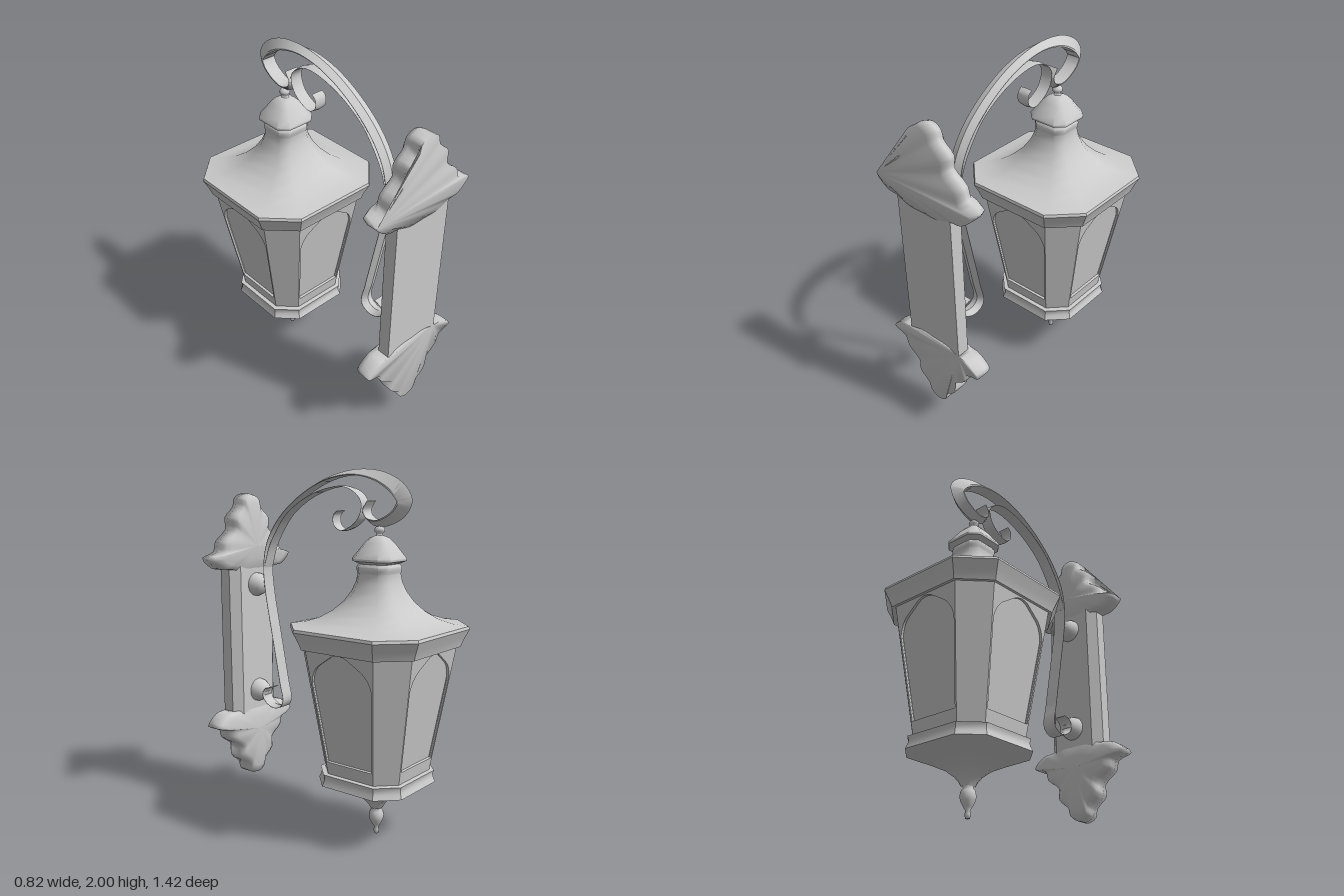
import * as THREE from 'three';
import { toCreasedNormals } from 'three/addons/utils/BufferGeometryUtils.js';

const grey = new THREE.MeshStandardMaterial({ color: 0xcccccc });
const greyDouble = new THREE.MeshStandardMaterial({ color: 0xcccccc, side: THREE.DoubleSide });
const V = (x, y, z) => new THREE.Vector3(x, y, z);

function add(parent, name, geometry, material = grey) {
  const mesh = new THREE.Mesh(geometry, material);
  mesh.name = name;
  parent.add(mesh);
  return mesh;
}

// Skin a list of closed rings that all have the same number of points
function skin(rings, extraFaces = []) {
  const n = rings[0].length, index = [];
  for (let i = 0; i < rings.length - 1; i++)
    for (let j = 0; j < n; j++) {
      const a = i * n + j, b = i * n + (j + 1) % n;
      index.push(a, a + n, b, b, a + n, b + n);
    }
  const g = new THREE.BufferGeometry().setFromPoints(rings.flat());
  g.setIndex(index.concat(extraFaces));
  g.computeVertexNormals();
  return g;
}

// Chamfered-square loft from a [halfWidth, height] profile, bottom to top
const CUT = 0.61;
const octagon = [[1, -CUT], [1, CUT], [CUT, 1], [-CUT, 1], [-1, CUT], [-1, -CUT], [-CUT, -1], [CUT, -1]];
const octLoft = (profile, crease) =>
  toCreasedNormals(skin(profile.map(([r, y]) => octagon.map(([x, z]) => V(x * r, y, z * r)))), crease);

const lathe = (profile) =>
  new THREE.LatheGeometry(profile.map(([r, y]) => new THREE.Vector2(r, y)), 24);

// Ridged strap swept along a [z, y] path; thickness is a function of the position along it
function strap(path, width, thickness, steps) {
  const curve = new THREE.CatmullRomCurve3(path.map(([z, y]) => V(0, y, z)));
  const rings = [];
  for (let i = 0; i <= steps; i++) {
    const u = i / steps, p = curve.getPointAt(u), t = curve.getTangentAt(u);
    const out = V(0, -t.z, t.y), h = thickness(u);
    const section = [[-width, -h], [width, -h], [width, -h * 0.85], [0, 0], [-width, -h * 0.85]];
    const ring = section.map(([x, d]) => p.clone().addScaledVector(out, d).setX(x));
    const cap = ring.map(() => p.clone().addScaledVector(out, -h / 2));
    if (i === 0) rings.push(cap);
    rings.push(ring);
    if (i === steps) rings.push(cap);
  }
  return toCreasedNormals(skin(rings), 0.6);
}

// Lobed leaf: domed on one side, the wall face fans out from one tip
function leaf(flip, tip) {
  const half = [[0.095, 1.41], [0.175, 1.435], [0.25, 1.445], [0.32, 1.51], [0.235, 1.54], [0.215, 1.6],
    [0.135, 1.665], [0.135, 1.735], [0.07, 1.795], [0.055, 1.845]];
  const mirrored = half.map(([x, y]) => [-x, y]).reverse();
  const outline = [[0, 1.41], ...half, [0, 1.87], ...mirrored];
  let loop = new THREE.CatmullRomCurve3(outline.map(([x, y]) => V(x, y, 0)), true).getPoints(66).slice(0, -1);
  if (flip) loop = loop.map((p) => V(p.x, 2.015 - p.y, 0)).reverse();
  const cy = flip ? 0.445 : 1.57;
  const ring = (s, z) => loop.map((p) => V(p.x * s, cy + (p.y - cy) * s, z));
  let k = 0;
  loop.forEach((p, i) => { if (p.distanceTo(tip) < loop[k].distanceTo(tip)) k = i; });
  const n = loop.length, fan = [];
  for (let i = 1; i < n - 1; i++) fan.push(k, (k + i) % n, (k + i + 1) % n);
  return skin([ring(1, 0.712), ring(1, 0.64), ring(0.97, 0.612), ring(0.82, 0.595), ring(0.45, 0.583), ring(0, 0.58)], fan);
}

// Leaning trapezoid for one side of the lantern body
const Y0 = 0.385, Y1 = 1.09, R0 = 0.245, R1 = 0.355;
function sideShape(w0, w1, h) {
  return new THREE.Shape([[-w0, 0], [w0, 0], [w1, h], [-w1, h]].map(([x, y]) => new THREE.Vector2(x, y)));
}

function bodySide(angle, scale, halfWidth, open) {
  const pivot = new THREE.Group(), side = new THREE.Group();
  const d0 = R0 * scale, d1 = R1 * scale;
  const h = Math.hypot(Y1 - Y0, d1 - d0);
  const w0 = R0 * halfWidth, w1 = R1 * halfWidth;
  const shape = sideShape(w0, w1, h);
  if (open) {
    // Arched opening above a low bottom rail
    const at = (y) => w0 + (w1 - w0) * y / h - 0.01;
    const hole = new THREE.Path();
    hole.moveTo(-at(0.075), 0.075);
    hole.lineTo(at(0.075), 0.075);
    hole.lineTo(at(0.53), 0.53);
    hole.quadraticCurveTo(0.178, 0.6, 0.13, 0.632);
    hole.lineTo(0.05, 0.685);
    hole.quadraticCurveTo(0, 0.71, -0.05, 0.685);
    hole.lineTo(-0.13, 0.632);
    hole.quadraticCurveTo(-0.178, 0.6, -at(0.53), 0.53);
    hole.closePath();
    shape.holes.push(hole);
    add(side, 'glassPane', new THREE.ShapeGeometry(sideShape(w0, w1, h)), greyDouble).position.z = -0.016;
  }
  const board = new THREE.ExtrudeGeometry(shape, { depth: 0.015, bevelEnabled: false, curveSegments: 8 });
  add(side, open ? 'archedFrame' : 'cornerPanel', board.translate(0, 0, -0.015));
  side.position.set(0, Y0, d0);
  side.rotation.x = Math.atan2(d1 - d0, Y1 - Y0);
  pivot.rotation.y = angle;
  pivot.name = open ? 'archedSide' : 'cornerSide';
  pivot.add(side);
  return pivot;
}

export function createModel() {
  const model = new THREE.Group();
  model.name = 'wallLantern';

  // Lantern
  const lantern = new THREE.Group();
  lantern.name = 'lantern';
  lantern.position.z = -0.3;
  model.add(lantern);
  add(lantern, 'bottomFinial', lathe([[0, 0], [0.012, 0], [0.015, 0.02], [0.012, 0.038], [0.022, 0.055],
    [0.038, 0.085], [0.042, 0.11], [0.036, 0.135], [0.025, 0.15], [0.034, 0.165], [0.04, 0.18], [0, 0.19]]));
  add(lantern, 'lowerBowl', octLoft([[0.03, 0.155], [0.042, 0.18], [0.06, 0.205], [0.1, 0.24], [0.16, 0.27],
    [0.23, 0.3], [0.275, 0.32]], 0.9));
  add(lantern, 'baseRim', octLoft([[0.275, 0.32], [0.265, 0.345], [0.262, 0.365], [0.268, 0.385], [0.24, 0.39], [0, 0.39]], 0.6));
  for (let i = 0; i < 4; i++) {
    lantern.add(bodySide(i * Math.PI / 2, 1, CUT, true));
    lantern.add(bodySide((i + 0.5) * Math.PI / 2, (1 + CUT) / Math.SQRT2, (1 - CUT) / Math.SQRT2, false));
  }
  add(lantern, 'roofRim', octLoft([[0, 1.09], [0.34, 1.085], [0.372, 1.08], [0.378, 1.1], [0.39, 1.13],
    [0.41, 1.175], [0.405, 1.19]], 0.6));
  add(lantern, 'roof', octLoft([[0.405, 1.19], [0.34, 1.2], [0.27, 1.225], [0.21, 1.265], [0.16, 1.315],
    [0.125, 1.37], [0.105, 1.42], [0.097, 1.465], [0.102, 1.48], [0.102, 1.5], [0.092, 1.515]], 0.9));
  add(lantern, 'roofCap', octLoft([[0.09, 1.515], [0.122, 1.53], [0.124, 1.542], [0.1, 1.575], [0.07, 1.62],
    [0.045, 1.648], [0.02, 1.66], [0, 1.662]], 0.9));
  add(lantern, 'topKnob', lathe([[0.035, 1.65], [0.018, 1.662], [0.018, 1.672], [0.028, 1.682], [0.028, 1.695],
    [0.018, 1.706], [0, 1.71]]));

  // Curved arm, thickest at the hook, and the thin inner scroll
  const armThickness = (u) => Math.min(1, 0.3 + 12 * Math.min(u, 1 - u)) *
    (0.016 + 0.055 * Math.exp(-(((u - 0.82) / 0.11) ** 2)));
  add(model, 'arm', strap([[0.46, 0.725], [0.5, 0.71], [0.515, 0.67], [0.48, 0.635], [0.42, 0.622], [0.378, 0.65],
    [0.4, 0.785], [0.452, 1.05], [0.502, 1.315], [0.512, 1.45], [0.485, 1.59], [0.41, 1.715], [0.3, 1.82],
    [0.14, 1.92], [-0.015, 1.977], [-0.175, 2], [-0.335, 1.98], [-0.455, 1.915], [-0.498, 1.84], [-0.46, 1.765],
    [-0.37, 1.715], [-0.28, 1.705], [-0.22, 1.74], [-0.205, 1.79], [-0.24, 1.84]], 0.04, armThickness, 140), greyDouble);
  add(model, 'innerScroll', strap([[0.5, 1.45], [0.46, 1.57], [0.4, 1.67], [0.32, 1.765], [0.17, 1.86], [0.01, 1.91],
    [-0.095, 1.912], [-0.175, 1.875], [-0.21, 1.82], [-0.185, 1.74], [-0.12, 1.69], [-0.06, 1.675], [-0.015, 1.71],
    [-0.015, 1.765], [-0.04, 1.787]], 0.036, () => 0.006, 90), greyDouble);

  // Wall plate with chamfered edges
  const section = new THREE.Shape([[-0.18, -0.71], [0.18, -0.71], [0.18, -0.64], [0.13, -0.595], [-0.13, -0.595],
    [-0.18, -0.64]].map(([x, y]) => new THREE.Vector2(x, y)));
  const plate = new THREE.ExtrudeGeometry(section, { depth: 1, bevelEnabled: false });
  add(model, 'wallPlate', plate.rotateX(-Math.PI / 2).translate(0, 0.507, 0));

  // Bosses that carry the arm
  for (const y of [0.69, 1.34]) {
    const boss = add(model, 'armBoss', lathe([[0.07, 0], [0.067, 0.025], [0.053, 0.055], [0.034, 0.08], [0, 0.09]]));
    boss.rotation.x = -Math.PI / 2;
    boss.position.set(0, y, 0.6);
  }

  // Leaves at both ends of the plate
  add(model, 'upperLeaf', leaf(false, V(-0.32, 1.51, 0)), greyDouble);
  add(model, 'lowerLeaf', leaf(true, V(0.175, 0.58, 0)), greyDouble);
  return model;
}
